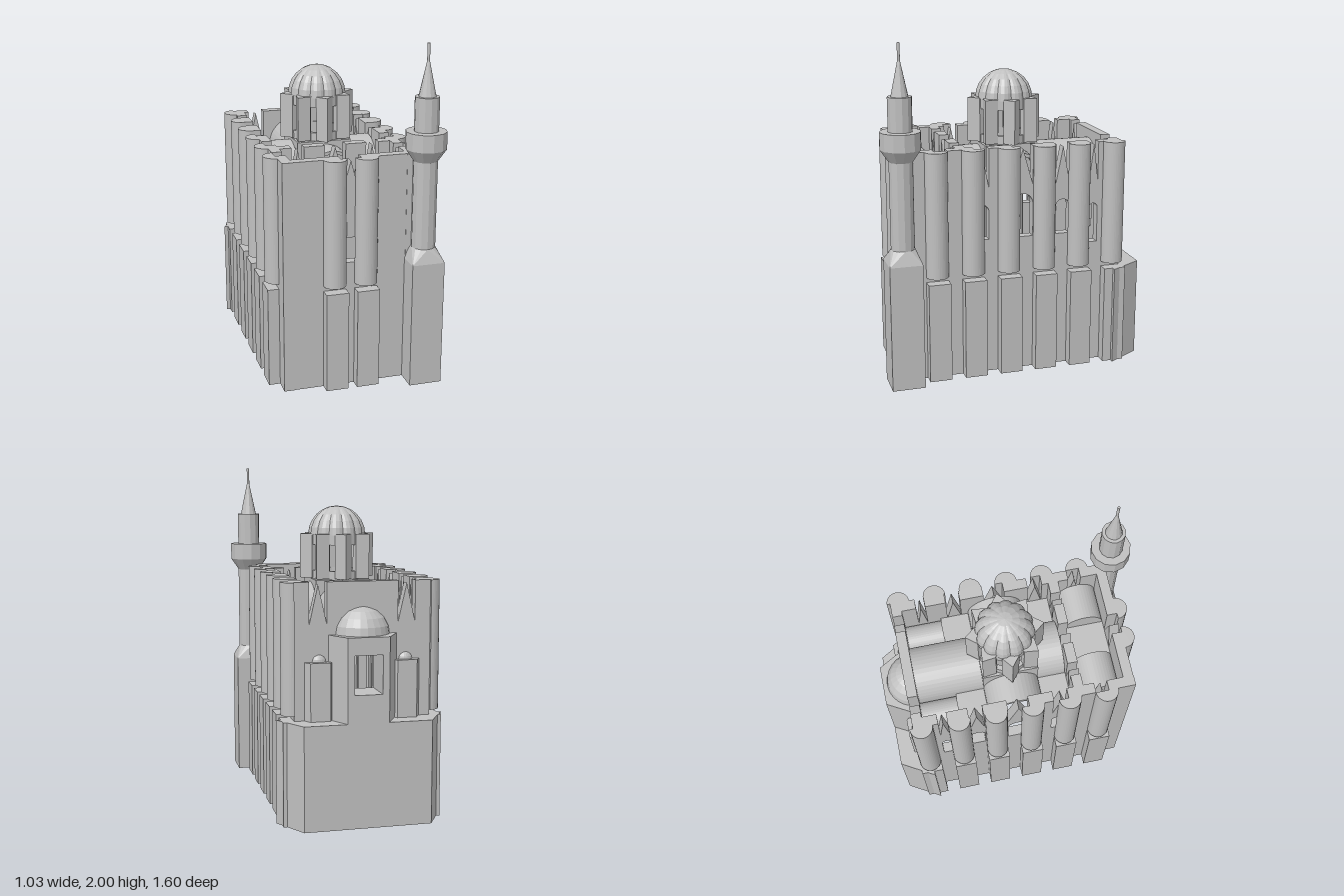
import * as THREE from 'three';
import { ConvexGeometry } from 'three/addons/geometries/ConvexGeometry.js';

export function createModel() {
  const model = new THREE.Group();
  const stone = new THREE.MeshStandardMaterial({ color: 0xc0c0c0, flatShading: true, side: THREE.DoubleSide });
  stone.name = 'pale grey stone';
  const CX = -0.03, CZ = -0.045, TOP = 1.375, R = 0.165, SPRING = 1.155;

  const add = (name, geo, x = 0, y = 0, z = 0, ry = 0) => {
    const m = new THREE.Mesh(geo, stone);
    m.name = name;
    m.position.set(x, y, z);
    m.rotation.y = ry;
    model.add(m);
    return m;
  };
  const box = (name, x0, x1, y0, y1, z0, z1) =>
    add(name, new THREE.BoxGeometry(x1 - x0, y1 - y0, z1 - z0), (x0 + x1) / 2, (y0 + y1) / 2, (z0 + z1) / 2);
  const extrude = (shape, depth) =>
    new THREE.ExtrudeGeometry(shape, { depth, bevelEnabled: false, curveSegments: 10 });
  const poly = pts => new THREE.Shape(pts.map(p => new THREE.Vector2(p[0], p[1])));
  // upright prism over a ground plan given as x, z
  const prism = (name, shape, y0, y1, x = 0, z = 0, ry = 0) =>
    add(name, extrude(shape, y1 - y0).rotateX(Math.PI / 2), x, y1, z, ry);
  const halfDisc = r => {
    const s = new THREE.Shape();
    s.absarc(0, 0, r, 0, Math.PI, false);
    return s;
  };

  // wall with window holes and gabled slots along its top
  // each bay: [centre, width, sill, head, arched, slot]; sill 0 means no window
  const wall = (name, a, b, bays, x, z, ry) => {
    const t = 0.06, pts = [[a, 0], [b, 0], [b, TOP]];
    for (const [c, w, , , , slot] of [...bays].reverse()) {
      if (!slot) continue;
      pts.push([c + w / 2, TOP], [c + w / 2, 1.14], [c, 1.36], [c - w / 2, 1.14], [c - w / 2, TOP]);
    }
    pts.push([a, TOP]);
    const s = poly(pts);
    for (const [c, w, y0, y1, arched] of bays) {
      if (!y0) continue;
      const h = new THREE.Path(), r = w / 2;
      h.moveTo(c - r, y0);
      h.lineTo(c + r, y0);
      if (arched) {
        h.lineTo(c + r, y1 - r);
        h.absarc(c, y1 - r, r, 0, Math.PI, false);
      } else {
        h.lineTo(c + r, y1);
        h.lineTo(c - r, y1);
      }
      s.holes.push(h);
    }
    add(name, extrude(s, t).translate(0, 0, -t / 2), x, 0, z, ry);
  };

  // outer walls and the cross wall
  const sideBays = [
    [-0.487, 0.055, 0.76, 1.0, true, true], [-0.293, 0.086, 0.83, 1.04, true, true],
    [CZ, 0.125, 0.83, 1.09, true, true], [0.205, 0.086, 0.83, 1.04, true, true],
    [0.447, 0.076, 0.83, 1.0, true, true]];
  wall('rightWall', -0.66, 0.645, sideBays, -0.394, 0, -Math.PI / 2);
  wall('leftWall', -0.66, 0.645, sideBays, 0.332, 0, -Math.PI / 2);
  wall('frontWall', -0.365, 0.303, [[CX, 0.12, 0.76, 0.91, false, true]], 0, 0.613, 0);
  wall('crossWall', -0.365, 0.303, [[-0.255, 0.075, 0, 0, false, true],
    [CX, 0.125, 0.76, 0.95, false, true], [0.195, 0.075, 0, 0, false, true]], 0, 0.317, 0);
  wall('backWall', -0.365, 0.303, [[-0.285, 0.1, 0, 0, false, true],
    [CX, 0.16, 0.76, 0.98, false, false], [0.225, 0.1, 0, 0, false, true]], 0, -0.63, 0);

  // buttresses: square below, half round above
  const buttress = (x, z, ry) => {
    const w = 0.0665;
    prism('buttressShaft', halfDisc(w), 0.63, TOP, x, z, ry);
    add('buttressBase', new THREE.BoxGeometry(2 * w, 0.6, w).translate(0, 0.3, w / 2), x, 0, z, ry);
  };
  for (let i = 0; i < 6; i++) {
    const z = 0.475 - i * 0.2175;
    buttress(-0.424, z, -Math.PI / 2);
    buttress(0.362, z, Math.PI / 2);
  }
  for (const x of [-0.122, 0.063]) buttress(x, 0.643, 0);

  // apse plinth and the main apse with its window
  prism('apsePlinth', poly([[-0.515, -0.6], [-0.4, -0.8], [0.335, -0.8], [0.455, -0.6]]), 0, 0.6);
  for (const s of [-1, 1])
    prism('apseSide', poly([[s * 0.2, -0.655], [s * 0.119, -0.8], [s * 0.08, -0.8], [s * 0.08, -0.655]]), 0.6, 1.08, CX);
  box('apseSill', CX - 0.08, CX + 0.08, 0.6, 0.76, -0.8, -0.655);
  box('apseLintel', CX - 0.08, CX + 0.08, 0.98, 1.08, -0.8, -0.655);
  const halfDome = (name, r, x, y, z) =>
    add(name, new THREE.SphereGeometry(r, 12, 5, 0, Math.PI, 0, Math.PI / 2), x, y, z, Math.PI);
  halfDome('apseDome', R, CX, 1.075, -0.61);
  for (const s of [-1, 1]) {
    const x = CX + s * 0.25;
    prism('sideApse', poly([[-0.085, -0.655], [-0.057, -0.703], [0.057, -0.703], [0.085, -0.655]]), 0.6, 0.93, x);
    halfDome('sideApseDome', 0.05, x, 0.93, -0.63);
  }

  // barrel vaults over the four arms of the cross
  const arch = () => {
    const s = new THREE.Shape(), r = R - 0.02;
    s.moveTo(R, -0.06);
    s.lineTo(R, 0);
    s.absarc(0, 0, R, 0, Math.PI, false);
    s.lineTo(-R, -0.06);
    s.lineTo(-r, -0.06);
    s.lineTo(-r, 0);
    s.absarc(0, 0, r, Math.PI, 0, true);
    s.lineTo(r, -0.06);
    return s;
  };
  add('rearVault', extrude(arch(), 0.39), CX, SPRING, -0.6);
  add('frontVault', extrude(arch(), 0.165), CX, SPRING, 0.12);
  add('rightVault', extrude(arch(), 0.17), -0.365, SPRING, CZ, Math.PI / 2);
  add('leftVault', extrude(arch(), 0.168), 0.135, SPRING, CZ, Math.PI / 2);

  // low roofs between the arms, and the smaller vaults
  const solidVault = (name, r, len, x, y, z, ry) =>
    add(name, extrude(halfDisc(r), len).translate(0, 0, -len / 2), x, y, z, ry);
  for (const s of [-1, 1]) {
    const a = CX + s * R, b = CX + s * 0.334, x0 = Math.min(a, b), x1 = Math.max(a, b);
    box('rearCornerRoof', x0, x1, 1.09, SPRING, -0.38, -0.21);
    box('frontCornerRoof', x0, x1, 1.09, SPRING, 0.12, 0.287);
    solidVault('sideVault', 0.084, 0.22, (a + b) / 2, 1.1, -0.49, 0);
    solidVault('porchVault', 0.117, 0.222, CX + s * 0.223, 1.15, 0.465, Math.PI / 2);
  }
  box('porchRoof', CX - 0.113, CX + 0.113, 1.1, SPRING, 0.347, 0.585);

  // crossing: four arches carry a pierced square slab
  for (let i = 0; i < 4; i++) {
    const r = R - 0.02, s = poly([[-R, 0], [-R, 0.185], [R, 0.185], [R, 0], [r, 0]]);
    s.absarc(0, 0, r, 0, Math.PI, false);
    add('crossingArch', extrude(s, 0.02).translate(0, 0, r), CX, SPRING - 0.002, CZ, i * Math.PI / 2);
  }
  const pierced = shape => {
    const h = new THREE.Path();
    h.absarc(0, 0, 0.135, 0, Math.PI * 2, true);
    shape.holes.push(h);
    return shape;
  };
  const disc = () => {
    const s = new THREE.Shape();
    s.absarc(0, 0, R, 0, Math.PI * 2, false);
    return s;
  };
  prism('crossingSlab', pierced(poly([[-R, -R], [R, -R], [R, R], [-R, R]])), 1.31, 1.34, CX, CZ);

  // drum with eight windows between pointed piers
  prism('drumFoot', pierced(disc()), 1.33, 1.39, CX, CZ);
  prism('drumHead', pierced(disc()), 1.545, 1.61, CX, CZ);
  const pier = [[-0.036, 0.135], [0.036, 0.135], [0.05, 0.165], [0, 0.228], [-0.05, 0.165]];
  for (let i = 0; i < 8; i++) prism('drumPier', poly(pier), 1.345, 1.61, CX, CZ, i * Math.PI / 4);

  // dome with twelve lobes
  const dome = new THREE.SphereGeometry(0.173, 48, 6, 0, Math.PI * 2, 0, Math.PI / 2);
  const p = dome.attributes.position;
  for (let i = 0; i < p.count; i++) {
    const k = 0.92 + 0.08 * Math.abs(Math.sin(6 * Math.atan2(p.getZ(i), p.getX(i))));
    p.setXYZ(i, p.getX(i) * k, p.getY(i), p.getZ(i) * k);
  }
  add('dome', dome, CX, 1.602, CZ);

  // columns under the crossing
  for (const sx of [-1, 1]) for (const sz of [-1, 1]) {
    const x = CX + sx * R, z = CZ + sz * R;
    add('column', new THREE.CylinderGeometry(0.018, 0.018, 1.1, 10), x, 0.55, z);
    add('columnBase', new THREE.BoxGeometry(0.055, 0.03, 0.055), x, 0.015, z);
    add('columnCapital', new THREE.BoxGeometry(0.055, 0.05, 0.055), x, 1.08, z);
  }

  // corner tower
  const TX = 0.395, TZ = 0.682, h = 0.097;
  box('towerBase', TX - h, TX + h, 0, 0.75, TZ - h, TZ + h);
  const corners = [[-h, -h], [h, -h], [h, h], [-h, h]].map(c => new THREE.Vector3(c[0], 0.75, c[1]));
  for (let i = 0; i < 12; i++) {
    const a = i * Math.PI / 6;
    corners.push(new THREE.Vector3(Math.sin(a) * 0.07, 0.83, Math.cos(a) * 0.07));
  }
  add('towerShoulder', new ConvexGeometry(corners), TX, 0, TZ);
  const drum = (name, r1, r0, y0, y1) =>
    add(name, new THREE.CylinderGeometry(r1, r0, y1 - y0, 12), TX, (y0 + y1) / 2, TZ);
  drum('towerShaft', 0.07, 0.07, 0.83, 1.34);
  drum('balconyFlare', 0.118, 0.07, 1.34, 1.41);
  drum('balcony', 0.118, 0.118, 1.41, 1.51);
  drum('upperShaft', 0.07, 0.07, 1.51, 1.705);
  drum('spire', 0.006, 0.05, 1.705, 1.91);
  drum('finial', 0.008, 0.008, 1.9, 2.0);

  return model;
}
